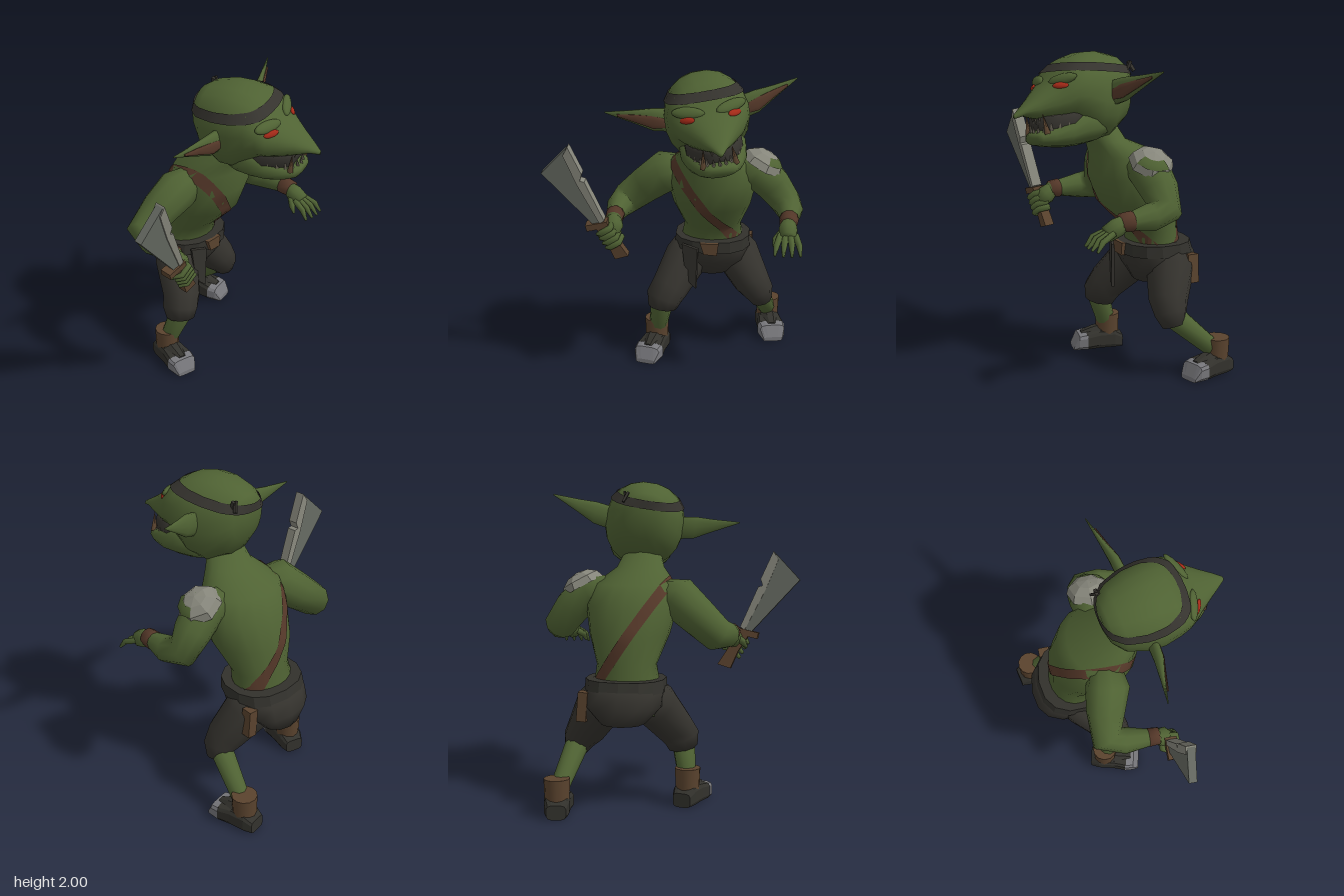
import * as THREE from 'three';

const V = (x, y, z) => new THREE.Vector3(x, y, z);
const material = (name, color, side = THREE.FrontSide, flatShading = false) =>
  Object.assign(new THREE.MeshStandardMaterial({ color, side, flatShading }), { name });

// Closed skin through a list of rings, wound so that it faces outward
function skin(rings) {
  const n = rings[0].length, pos = [], idx = [];
  const centre = (r) => r.reduce((s, p) => s.add(p), V(0, 0, 0)).divideScalar(n);
  const pts = [...rings.flat(), centre(rings[0]), centre(rings.at(-1))];
  const a0 = pts.length - 2, b0 = (rings.length - 1) * n;
  for (let j = 0; j < n; j++) {
    const k = (j + 1) % n;
    for (let i = 0; i < rings.length - 1; i++) {
      const a = i * n + j, b = i * n + k;
      idx.push(a, b, a + n, b, b + n, a + n);
    }
    idx.push(a0, k, j, a0 + 1, b0 + j, b0 + k);
  }
  let volume = 0;
  for (let i = 0; i < idx.length; i += 3)
    volume += pts[idx[i]].dot(V(0, 0, 0).crossVectors(pts[idx[i + 1]], pts[idx[i + 2]]));
  if (volume < 0) idx.reverse();
  pts.forEach((p) => pos.push(p.x, p.y, p.z));
  const g = new THREE.BufferGeometry();
  g.setAttribute('position', new THREE.Float32BufferAttribute(pos, 3));
  g.setIndex(idx);
  g.computeVertexNormals();
  return g;
}

// Superellipse sections; place(t, a, b) puts them along an axis. Row: [t, centreA, centreB, halfA, halfB]
const pow = (c, p) => Math.sign(c) * Math.abs(c) ** p;
const loft = (rows, place, n = 16, p = 1) => skin(rows.map(([t, ca, cb, ha, hb]) =>
  Array.from({ length: n }, (_, j) => {
    const a = ((j + 0.5) / n) * Math.PI * 2;
    return place(t, ca + ha * pow(Math.cos(a), p), cb + hb * pow(Math.sin(a), p));
  })));
const alongY = (t, a, b) => V(a, t, b);
const alongZ = (t, a, b) => V(a, b, t);
// Row for symmetric forms along z: [z, bottom, top, halfWidth]
const zRows = (rows) => rows.map(([z, b, t, w]) => [z, 0, (b + t) / 2, w, (t - b) / 2]);

// Round limb through [x, y, z, radius] points
function limb(pts, n = 10) {
  const c = pts.map((p) => V(p[0], p[1], p[2]));
  let u = V(0.31, 0.2, 0.93);
  return skin(c.map((p, i) => {
    const t = c[Math.min(i + 1, c.length - 1)].clone().sub(c[Math.max(i - 1, 0)]).normalize();
    u = u.clone().addScaledVector(t, -u.dot(t)).normalize();
    const v = t.clone().cross(u);
    return Array.from({ length: n }, (_, j) => {
      const a = (j / n) * Math.PI * 2;
      return p.clone().addScaledVector(u, Math.cos(a) * pts[i][3]).addScaledVector(v, Math.sin(a) * pts[i][3]);
    });
  }));
}

const firstHit = (mesh, from, dir) => new THREE.Raycaster(from, dir).intersectObject(mesh)[0];

// Strip laid on a mesh where a plane cuts it
function band(mesh, centre, normal, half, lift, n = 40) {
  normal.normalize();
  const e1 = normal.clone().cross(V(0, 0, 1)).normalize(), e2 = e1.clone().cross(normal);
  const pos = [], idx = [];
  for (let j = 0; j <= n; j++) {
    const a = (j / n) * Math.PI * 2;
    const d = e1.clone().multiplyScalar(Math.cos(a)).addScaledVector(e2, Math.sin(a));
    for (const s of [-half, half]) {
      const o = centre.clone().addScaledVector(normal, s).addScaledVector(d, 2);
      const hit = firstHit(mesh, o, d.clone().negate());
      pos.push(...(hit ? hit.point : centre.clone()).addScaledVector(d, lift).toArray());
    }
    if (j < n) idx.push(2 * j, 2 * j + 1, 2 * j + 2, 2 * j + 1, 2 * j + 3, 2 * j + 2);
  }
  const g = new THREE.BufferGeometry();
  g.setAttribute('position', new THREE.Float32BufferAttribute(pos, 3));
  g.setIndex(idx);
  g.computeVertexNormals();
  return g;
}

const plate = (pts, depth) => new THREE.ExtrudeGeometry(
  new THREE.Shape(pts.map(([x, y]) => new THREE.Vector2(x, y))), { depth, bevelEnabled: false }).translate(0, 0, -depth / 2);

export function createModel() {
  const green = material('green skin', 0x4f6233);
  const cloth = material('dark cloth', 0x35332e, THREE.DoubleSide);
  const leather = material('brown leather', 0x5a432e);
  const strapMat = material('red brown strap', 0x553829, THREE.DoubleSide);
  const steel = material('blade steel', 0x646860, THREE.FrontSide, true);
  const pale = material('pale metal', 0x86867b, THREE.FrontSide, true);
  const toeMetal = material('toe metal', 0x77777b, THREE.FrontSide, true);
  const boot = material('boot black', 0x32312c, THREE.FrontSide, true);
  const red = material('eye red', 0xa52a18);
  const toothMat = material('tooth grey', 0x5c574b);
  const root = new THREE.Group();
  const add = (name, geo, mat, parent = root, p = [0, 0, 0], r = [0, 0, 0]) => {
    const m = new THREE.Mesh(geo, mat);
    m.name = name;
    m.position.set(...p);
    m.rotation.set(...r);
    parent.add(m);
    return m;
  };
  const group = (name, p, r) => {
    const g = new THREE.Group();
    g.name = name;
    g.position.set(...p);
    g.rotation.set(...r);
    root.add(g);
    return g;
  };
  const box = (x, y, z) => new THREE.BoxGeometry(x, y, z);

  // Hunched torso and neck
  const torso = add('torso', loft([[0.6, 0.2, -0.33, 0.2, 0.15], [0.8, 0.21, -0.31, 0.2, 0.16], [0.9, 0.215, -0.29, 0.185, 0.16], [1.08, 0.215, -0.2, 0.25, 0.25],
    [1.25, 0.215, -0.14, 0.285, 0.25], [1.38, 0.2, -0.11, 0.25, 0.21], [1.47, 0.19, 0.01, 0.15, 0.12], [1.6, 0.18, 0.07, 0.1, 0.1]], alongY, 18), green);
  add('chestStrap', band(torso, V(0.21, 1.04, -0.2), V(1.48, 1, 0), 0.033, 0.008), strapMat);

  // Head: turned and tilted toward its left
  const head = group('head', [0.18, 1.72, 0.08], [0, 0.2, 0.15]);
  const skull = add('skull', loft(zRows([[-0.21, 0.03, 0.17, 0.07], [-0.185, -0.07, 0.21, 0.14], [-0.12, -0.17, 0.25, 0.205],
    [0, -0.245, 0.28, 0.245], [0.1, -0.235, 0.28, 0.255], [0.2, -0.15, 0.255, 0.245], [0.27, -0.105, 0.21, 0.225], [0.32, -0.1, 0.145, 0.195],
    [0.38, -0.095, 0.1, 0.15], [0.46, -0.08, 0.04, 0.095], [0.53, -0.06, -0.01, 0.05], [0.585, -0.07, -0.045, 0.012]]), alongZ, 20, 0.9), green, head);
  add('jaw', loft(zRows([[0, -0.235, -0.05, 0.15], [0.1, -0.255, -0.04, 0.195], [0.2, -0.265, -0.035, 0.2], [0.3, -0.265, -0.09, 0.18],
    [0.4, -0.25, -0.135, 0.14], [0.46, -0.235, -0.16, 0.095], [0.48, -0.21, -0.17, 0.06]]), alongZ, 16, 0.85), green, head);
  add('mouth', loft(zRows([[0.1, -0.18, -0.02, 0.17], [0.28, -0.18, -0.04, 0.17], [0.37, -0.18, -0.05, 0.13], [0.435, -0.18, -0.06, 0.08]]), alongZ, 12, 0.6), cloth, head);
  for (let i = 0; i < 11; i++) {
    const a = -1.15 + i * 0.23, x = 0.155 * Math.sin(a), z = 0.21 + 0.25 * Math.cos(a);
    add('lowerTooth', new THREE.ConeGeometry(0.015, 0.055, 4), toothMat, head, [x, -0.1 - (z - 0.3) * 0.3, z]);
    add('upperTooth', new THREE.ConeGeometry(0.014, 0.05, 4), toothMat, head, [x * 0.95, -0.095, z - 0.02], [Math.PI, 0, 0]);
  }
  add('headband', band(skull, V(0, 0.175, 0.06), V(0, 1, -0.12), 0.026, 0.01), cloth, head);
  for (const s of [-0.35, 0.35])
    add('headbandTail', box(0.015, 0.07, 0.02), cloth, head, [0.14, 0.17, -0.18 - s * 0.03], [s, 0, s]);
  for (const s of [-1, 1]) {
    add('tusk', new THREE.ConeGeometry(0.02, 0.12, 5), leather, head, [s * 0.09, -0.115, 0.44], [0.1, 0, s * 0.12]);
    // Eyes under heavy slanted brows, seated on the face
    const onFace = (name, mat, x, y, size, tilt) => {
      const hit = firstHit(skull, V(s * x, y, 2), V(0, 0, -1));
      const m = add(name, new THREE.SphereGeometry(1, 12, 8), mat, head, hit.point.toArray());
      m.quaternion.setFromUnitVectors(V(0, 0, 1), hit.face.normal);
      m.rotateZ(s * tilt);
      m.scale.set(...size);
    };
    onFace('eye', red, 0.138, 0.095, [0.05, 0.021, 0.014], 0.15);
    onFace('brow', green, 0.125, 0.13, [0.1, 0.036, 0.022], 0.22);
    // Long pointed ears with a brown hollow
    const mx = (t, a, b) => V(s * t, a, b);
    add('ear', loft([[0.2, 0.02, 0.03, 0.075, 0.035], [0.32, 0.04, 0.02, 0.072, 0.03], [0.43, 0.07, -0.01, 0.042, 0.016], [0.59, 0.115, -0.05, 0.004, 0.003]], mx, 10), green, head);
    add('earHollow', loft([[0.25, 0.015, 0.054, 0.032, 0.008], [0.32, 0.03, 0.046, 0.043, 0.008], [0.42, 0.062, 0.012, 0.026, 0.008], [0.52, 0.092, -0.018, 0.008, 0.006]], mx, 8), strapMat, head);
  }

  // Arms, wrist wraps and hands
  add('rightArm', limb([[0.02, 1.31, -0.12, 0.1], [-0.08, 1.29, -0.13, 0.135], [-0.2, 1.19, -0.17, 0.12], [-0.335, 1.075, -0.19, 0.105],
    [-0.37, 1.065, -0.08, 0.083], [-0.38, 1.06, 0.06, 0.055], [-0.38, 1.05, 0.13, 0.05]]), green);
  add('rightWristWrap', limb([[-0.379, 1.06, 0.06, 0.06], [-0.38, 1.055, 0.125, 0.055]]), strapMat);
  add('leftArm', limb([[0.38, 1.32, -0.12, 0.1], [0.49, 1.33, -0.12, 0.13], [0.6, 1.22, -0.135, 0.115], [0.68, 1.11, -0.13, 0.1],
    [0.71, 1.09, -0.02, 0.083], [0.705, 1.08, 0.1, 0.055], [0.7, 1.07, 0.17, 0.05]]), green);
  add('leftWristWrap', limb([[0.705, 1.08, 0.1, 0.06], [0.7, 1.075, 0.175, 0.055]]), strapMat);
  add('leftPalm', limb([[0.7, 1.075, 0.15, 0.045], [0.7, 1.05, 0.2, 0.058], [0.7, 1.02, 0.26, 0.052]]), green);
  for (let i = 0; i < 4; i++) {
    const f = i - 1.5;
    add('leftFinger', limb([[0.7 + f * 0.03, 1.03, 0.24, 0.02], [0.7 + f * 0.045, 0.995, 0.32, 0.019],
      [0.7 + f * 0.052, 0.94, 0.375 - Math.abs(f) * 0.01, 0.008]], 6), green);
  }
  add('leftThumb', limb([[0.67, 1.04, 0.19, 0.022], [0.625, 1.0, 0.24, 0.02], [0.615, 0.96, 0.265, 0.008]], 6), green);

  // Cleaver held in the right fist
  const sword = group('cleaver', [-0.455, 1.05, 0.19], [0.1, 0, 0.53]);
  add('blade', plate([[-0.035, 0.01], [0.025, 0.01], [0.05, 0.29], [0.06, 0.5], [0.1, 0.53], [-0.128, 0.464]], 0.05), steel, sword);
  add('bladeEdge', plate([[0.005, 0.01], [0.04, 0.01], [0.075, 0.29], [0.055, 0.31], [0.088, 0.34], [0.11, 0.533], [0.055, 0.5], [0.025, 0.3]], 0.066), pale, sword);
  add('guard', box(0.14, 0.04, 0.075), leather, sword, [-0.02, 0, 0], [0, 0, -0.3]);
  add('handle', plate([[-0.035, 0], [0.03, 0], [0.035, -0.15], [0.04, -0.27], [-0.045, -0.25], [-0.03, -0.13]], 0.06), leather, sword);
  add('rightPalm', limb([[-0.38, 1.06, 0.1, 0.045], [-0.38, 1.02, 0.15, 0.062], [-0.385, 0.98, 0.19, 0.045]]), green);
  for (let i = 0; i < 4; i++) {
    const y = -0.045 - i * 0.036;
    add('rightFinger', limb([[0.055, y, -0.03, 0.021], [0.05, y, 0.045, 0.021], [-0.02, y, 0.05, 0.02], [-0.055, y - 0.01, 0.01, 0.012]], 6), green, sword);
  }
  add('rightThumb', limb([[0.04, -0.05, -0.04, 0.024], [-0.03, -0.06, -0.045, 0.022], [-0.06, -0.08, 0, 0.01]], 6), green, sword);

  // Shoulder pad with a bare green patch on its outer facets
  const pad = group('shoulderPad', [0.525, 1.355, -0.12], [0, 0, -0.5]);
  pad.scale.y = 0.68;
  const facet = (Math.PI * 2) / 7;
  add('padDome', new THREE.SphereGeometry(0.14, 7, 3, 0, Math.PI * 2, 0, Math.PI / 2), pale, pad);
  add('padPatch', new THREE.SphereGeometry(0.143, 2, 1, 2 * facet, 2 * facet, Math.PI / 6, Math.PI / 6), green, pad);

  // Breeches and belt
  add('hips', loft([[0.56, 0.21, -0.38, 0.14, 0.19], [0.66, 0.215, -0.36, 0.24, 0.23], [0.74, 0.215, -0.33, 0.245, 0.235], [0.8, 0.215, -0.31, 0.235, 0.215]], alongY, 14, 0.85), cloth);
  add('belt', loft([[0.745, 0.215, -0.32, 0.25, 0.235], [0.82, 0.215, -0.31, 0.245, 0.222]], alongY, 14, 0.85), boot);
  add('rightBreeches', limb([[0.12, 0.72, -0.33, 0.15], [0.04, 0.64, -0.25, 0.145], [-0.055, 0.48, -0.13, 0.122], [-0.09, 0.42, -0.11, 0.118], [-0.1, 0.35, -0.1, 0.095]]), cloth);
  add('leftBreeches', limb([[0.3, 0.72, -0.36, 0.15], [0.38, 0.64, -0.35, 0.15], [0.48, 0.48, -0.28, 0.122], [0.53, 0.41, -0.27, 0.1], [0.55, 0.34, -0.28, 0.07]]), cloth);
  add('buckle', plate([[-0.06, 0.04], [0.06, 0.04], [0.05, -0.04], [-0.035, -0.035]], 0.03), leather, root, [0.205, 0.78, -0.085]);
  add('hangingCloth', plate([[-0.05, 0.15], [0.06, 0.13], [0.05, -0.15], [-0.02, -0.09]], 0.02), cloth, root, [0.075, 0.65, -0.1], [0, -0.35, 0]);
  add('pouch', box(0.06, 0.18, 0.07), leather, root, [0.45, 0.66, -0.46], [0, 0, 0.08]);

  // Shins, cuffs and capped shoes with a dark instep
  const legs = [
    ['right', [-0.1, 0.4, -0.09], [-0.145, 0.14, -0.18], -0.25],
    ['left', [0.53, 0.4, -0.28], [0.59, 0.14, -0.57], 0.2]];
  for (const [side, knee, ankle, yaw] of legs) {
    add(side + 'Shin', limb([[...knee, 0.075], [...ankle, 0.055]]), green);
    const foot = group(side + 'Foot', [ankle[0], 0, ankle[2]], [0, yaw, 0]);
    add('cuff', new THREE.CylinderGeometry(0.08, 0.075, 0.14, 12), leather, foot, [0, 0.165, 0]);
    add('shoe', loft(zRows([[-0.095, 0, 0.09, 0.06], [-0.04, 0, 0.13, 0.078], [0.06, 0, 0.13, 0.08], [0.15, 0, 0.115, 0.092]]), alongZ, 12, 0.5), boot, foot);
    add('instep', loft(zRows([[0.03, 0.05, 0.165, 0.065], [0.11, 0.05, 0.145, 0.055], [0.18, 0.05, 0.118, 0.04]]), alongZ, 8), boot, foot);
    add('toeCap', loft(zRows([[0.145, 0, 0.115, 0.094], [0.2, 0, 0.105, 0.085], [0.235, 0, 0.03, 0.065]]), alongZ, 12, 0.5), toeMetal, foot);
  }
  return root;
}
